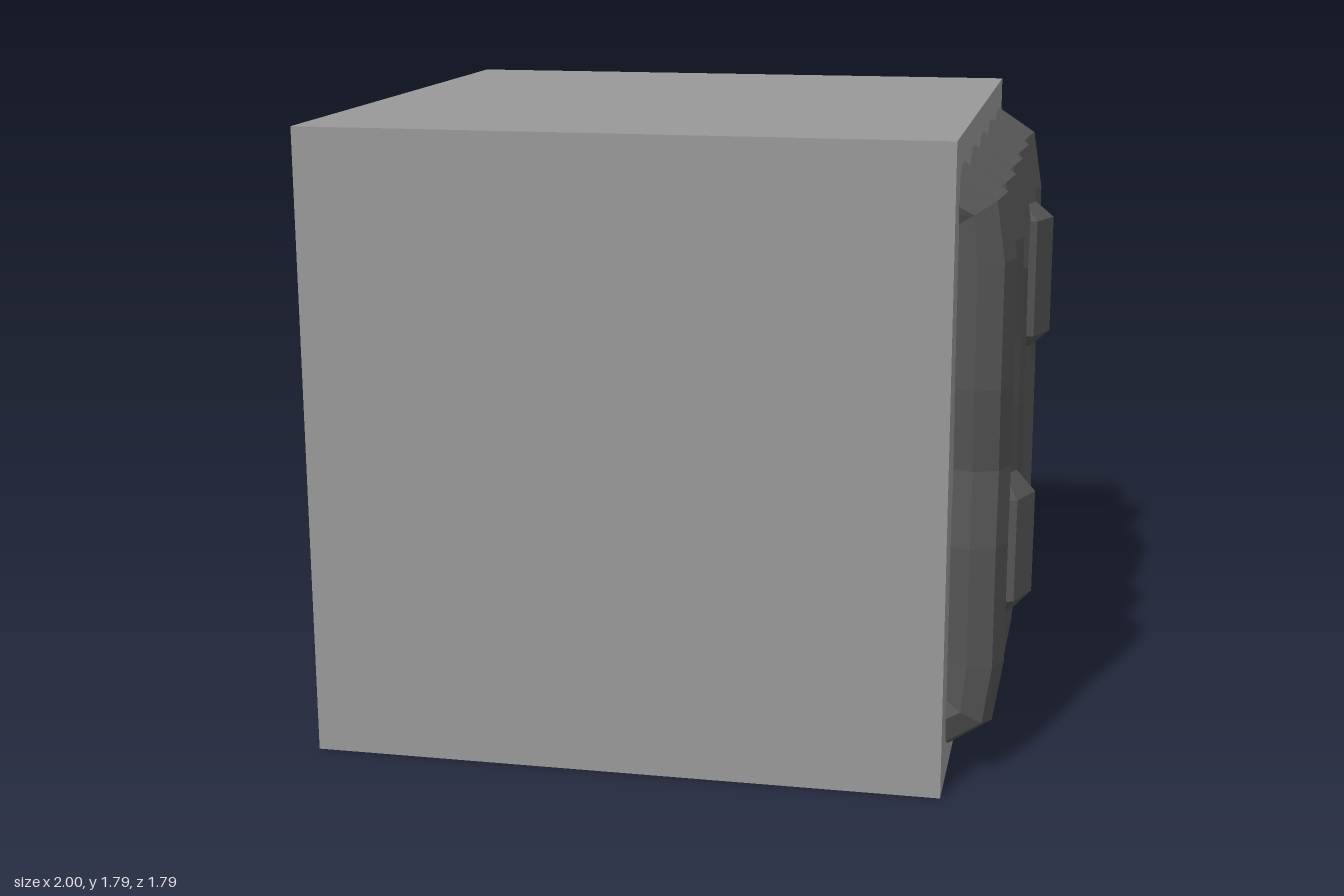
import * as THREE from 'three';

const SIDES = 8, R = 0.097, COLLAR = 0.152, AXIS_X = 0.843;

// Ring: centre x, y, z, radius, and the angle its outer side tilts upward
const ring = (x, y, z, r = R, tilt = 0) => ({ x, y, z, r, tilt });

// Octagonal tube skinned over a list of rings from top to bottom
function tube(rings) {
  const pos = [], index = [];
  for (const { x, y, z, r, tilt } of rings) {
    for (let j = 0; j < SIDES; j++) {
      const a = (j / SIDES) * Math.PI * 2, out = r * Math.cos(a);
      pos.push(x + out * Math.cos(tilt), y + out * Math.sin(tilt), z + r * Math.sin(a));
    }
  }
  for (let i = 0; i < rings.length - 1; i++) {
    for (let j = 0; j < SIDES; j++) {
      const k = (j + 1) % SIDES;
      const a = i * SIDES + j, b = i * SIDES + k, c = a + SIDES, d = b + SIDES;
      index.push(a, b, c, b, d, c);
    }
  }
  const g = new THREE.BufferGeometry();
  g.setAttribute('position', new THREE.Float32BufferAttribute(pos, 3));
  g.setIndex(index);
  const flat = g.toNonIndexed();
  flat.computeVertexNormals();
  return flat;
}

// Pipe that leaves the wall at the top, runs down it and bends back in
function pipeGeometry(z, middle) {
  const ends = [[0.74, 1.64, 0.98], [0.83, 1.59, 0.57], [AXIS_X, 1.46, 0.06]];
  const top = ends.map(([x, y, t]) => ring(x, y, z, R, t));
  const bottom = ends.map(([x, y, t]) => ring(x, 1.8 - y, z, R, -t)).reverse();
  return tube([...top, ...middle.map(([y, mz, r]) => ring(AXIS_X, y, mz, r)), ...bottom]);
}

export function createModel() {
  const blockGrey = new THREE.MeshStandardMaterial({ color: 0x999999 });
  const pipeGrey = new THREE.MeshStandardMaterial({ color: 0x555555 });
  blockGrey.name = 'blockGrey';
  pipeGrey.name = 'pipeGrey';

  const model = new THREE.Group();
  model.name = 'pipedBlock';

  const block = new THREE.Mesh(new THREE.BoxGeometry(1.79, 1.795, 1.79), blockGrey);
  block.name = 'block';
  block.position.set(-0.105, 0.8975, 0);
  model.add(block);

  // Each pipe: home z, then its bends and collars as [y, z, radius]
  const pipes = [
    [0.69, [[1.12, 0.69], [0.89, 0.66], [0.68, 0.69]]],
    [0.346, [[1.39, 0.346], [1.18, 0.325], [0.98, 0.346], [0.79, 0.346],
      [0.725, 0.335, COLLAR], [0.435, 0.37, COLLAR], [0.37, 0.348]]],
    [0, [[1.33, 0.057], [0.91, 0], [0.6, -0.066], [0.45, 0]]],
    [-0.342, [[1.42, -0.342, COLLAR], [1.06, -0.342, COLLAR], [1.01, -0.342]]],
    [-0.685, [[1.38, -0.685], [1.1, -0.64], [0.89, -0.685], [0.57, -0.7]]],
  ];
  pipes.forEach(([z, middle], i) => {
    const pipe = new THREE.Mesh(pipeGeometry(z, middle), pipeGrey);
    pipe.name = 'pipe' + (i + 1);
    model.add(pipe);
  });

  return model;
}
